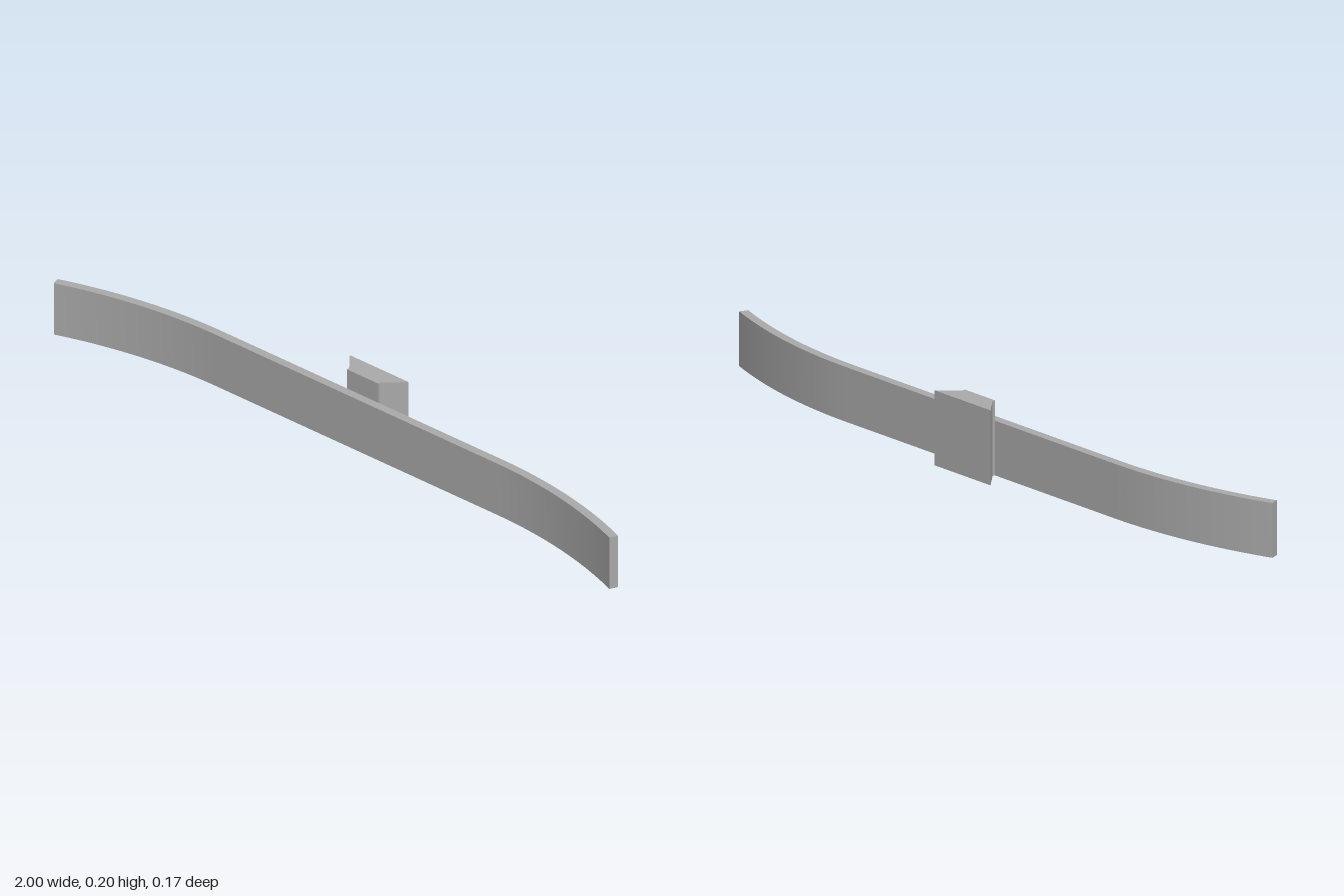
import * as THREE from 'three';
import { toCreasedNormals } from 'three/addons/utils/BufferGeometryUtils.js';

const HALF_FLAT = 0.5, BACK = 0.027, THICK = 0.025, RADIUS = 1.434;
const SWEEP = Math.asin((1 - HALF_FLAT) / RADIUS);

// Extrudes a plan outline (x, -z) upward from the ground
function prism(name, shape, height, material) {
  const geometry = new THREE.ExtrudeGeometry(shape, { depth: height, bevelEnabled: false, curveSegments: 16 });
  geometry.rotateX(-Math.PI / 2);
  const mesh = new THREE.Mesh(toCreasedNormals(geometry, Math.PI / 6), material);
  mesh.name = name;
  return mesh;
}

export function createModel() {
  const group = new THREE.Group();
  group.name = 'curvedBar';
  const grey = new THREE.MeshStandardMaterial({ color: 0xaaaaaa });
  grey.name = 'grey';

  // Long bar: flat middle, both ends sweeping forward on tangent arcs
  const up = Math.PI / 2, cy = BACK - RADIUS, inner = RADIUS - THICK;
  const bar = new THREE.Shape();
  bar.moveTo(-HALF_FLAT, BACK);
  bar.lineTo(HALF_FLAT, BACK);
  bar.absarc(HALF_FLAT, cy, RADIUS, up, up - SWEEP, true);
  bar.absarc(HALF_FLAT, cy, inner, up - SWEEP, up, false);
  bar.absarc(-HALF_FLAT, cy, inner, up, up + SWEEP, false);
  bar.absarc(-HALF_FLAT, cy, RADIUS, up + SWEEP, up, true);
  group.add(prism('bar', bar, 0.148, grey));

  // Dovetail mount behind the bar, with a short straight neck
  const half = [[0.056, BACK], [0.056, 0.035], [0.105, 0.0875]];
  const outline = [...half, ...half.map(([x, y]) => [-x, y]).reverse()];
  const mount = new THREE.Shape(outline.map(([x, y]) => new THREE.Vector2(x, y)));
  group.add(prism('dovetailMount', mount, 0.203, grey));

  return group;
}
